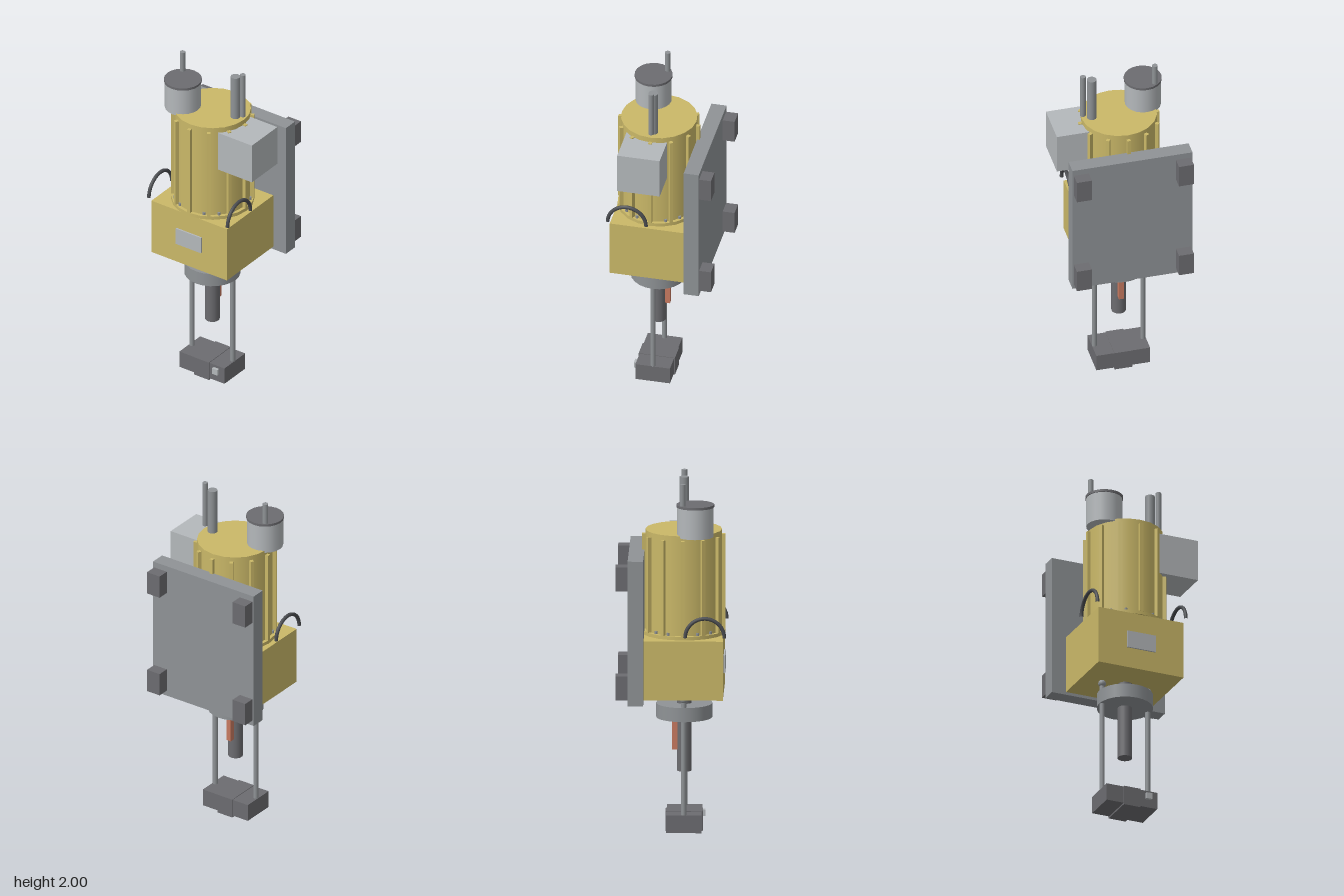
import * as THREE from 'three';

const paint = (name, color) => {
  const m = new THREE.MeshStandardMaterial({ color });
  m.name = name;
  return m;
};

export function createModel() {
  const model = new THREE.Group();
  model.name = 'verticalMotor';
  const gold = paint('housing gold', 0xcab868);
  const light = paint('light grey', 0xb4b8bb);
  const mid = paint('mid grey', 0x8f9396);
  const dark = paint('dark grey', 0x6c6c70);
  const black = paint('handle charcoal', 0x4a4c50);
  const copper = paint('key copper', 0xc87a60);

  // Motor axis
  const AX = -0.018, AZ = 0.064;

  const add = (name, geo, mat, x, y, z) => {
    const mesh = new THREE.Mesh(geo, mat);
    mesh.name = name;
    mesh.position.set(x, y, z);
    model.add(mesh);
    return mesh;
  };
  // Box from its limits
  const box = (name, mat, x0, x1, y0, y1, z0, z1) =>
    add(name, new THREE.BoxGeometry(x1 - x0, y1 - y0, z1 - z0), mat,
      (x0 + x1) / 2, (y0 + y1) / 2, (z0 + z1) / 2);
  // Upright cylinder from its bottom and top
  const cyl = (name, mat, r, y0, y1, x = AX, z = AZ, sides = 20) =>
    add(name, new THREE.CylinderGeometry(r, r, y1 - y0, sides), mat, x, (y0 + y1) / 2, z);

  // Gearbox housing with nameplate
  box('gearbox', gold, -0.277, 0.24, 0.785, 1.12, -0.154, 0.287);
  box('nameplate', light, -0.105, 0.068, 0.905, 1.005, 0.287, 0.296);

  // Motor barrel, flange, cooling fins and flange bolts
  cyl('motorBarrel', gold, 0.213, 1.13, 1.707);
  cyl('motorFlange', gold, 0.232, 1.12, 1.14);
  for (let i = 0; i < 12; i++) {
    const a = (i * Math.PI) / 6;
    const fin = add('coolingFin', new THREE.BoxGeometry(0.02, 0.54, 0.03), gold,
      AX + 0.217 * Math.sin(a), 1.41, AZ + 0.217 * Math.cos(a));
    fin.rotation.y = a;
  }
  for (let i = 0; i < 16; i++) {
    const a = (i * Math.PI) / 8;
    cyl('flangeBolt', mid, 0.009, 1.138, 1.156,
      AX + 0.213 * Math.sin(a), AZ + 0.213 * Math.cos(a), 6);
  }

  // Terminal box
  box('terminalBox', light, 0.124, 0.36, 1.435, 1.675, -0.025, 0.217);

  // Reservoir pot, its lid and the pipes on top
  cyl('reservoir', light, 0.101, 1.695, 1.866, -0.173, 0.132);
  cyl('reservoirLid', dark, 0.106, 1.864, 1.878, -0.173, 0.132);
  cyl('reservoirPipe', mid, 0.016, 1.875, 2.0, -0.225, 0.063, 10);
  cyl('widePipe', mid, 0.027, 1.70, 1.97, 0.137, 0.063, 16);
  cyl('thinPipe', mid, 0.016, 1.73, 2.0, 0.188, 0.063, 10);

  // Back mounting plate with four pads
  box('mountingPlate', mid, -0.363, 0.326, 0.768, 1.59, -0.24, -0.154);
  for (const x of [-0.354, 0.232])
    for (const y of [0.80, 1.42])
      box('mountingPad', dark, x, x + 0.086, y, y + 0.135, -0.308, -0.24);

  // Arched lifting handles
  for (const x of [-0.288, 0.25]) {
    const handle = add('liftingHandle',
      new THREE.TorusGeometry(0.109, 0.0105, 10, 24, Math.PI), black, x, 1.143, 0.187);
    handle.rotation.y = Math.PI / 2;
  }

  // Output shaft, collar and key
  cyl('outputShaft', dark, 0.041, 0.335, 0.785, AX, 0.067);
  cyl('shaftCollar', mid, 0.157, 0.64, 0.72, AX, 0.067, 24);
  box('shaftKey', copper, AX - 0.015, AX + 0.015, 0.455, 0.625, 0, 0.035);

  // Hanging rods with ball heads
  for (const x of [AX - 0.139, AX + 0.139]) {
    cyl('hangingRod', mid, 0.0145, 0.105, 0.765, x, 0.067, 12);
    add('rodBall', new THREE.SphereGeometry(0.022, 14, 10), mid, x, 0.765, 0.067);
  }

  // Lower block: two jaws, centre piece and a small button
  box('leftJaw', dark, 0.032, 0.135, 0.01, 0.11, -0.032, 0.165);
  box('rightJaw', dark, -0.173, -0.07, 0.01, 0.11, -0.032, 0.165);
  box('centreBlock', dark, -0.07, 0.032, 0, 0.113, -0.037, 0.17);
  box('button', light, 0.062, 0.098, 0.058, 0.094, 0.16, 0.182);

  return model;
}
